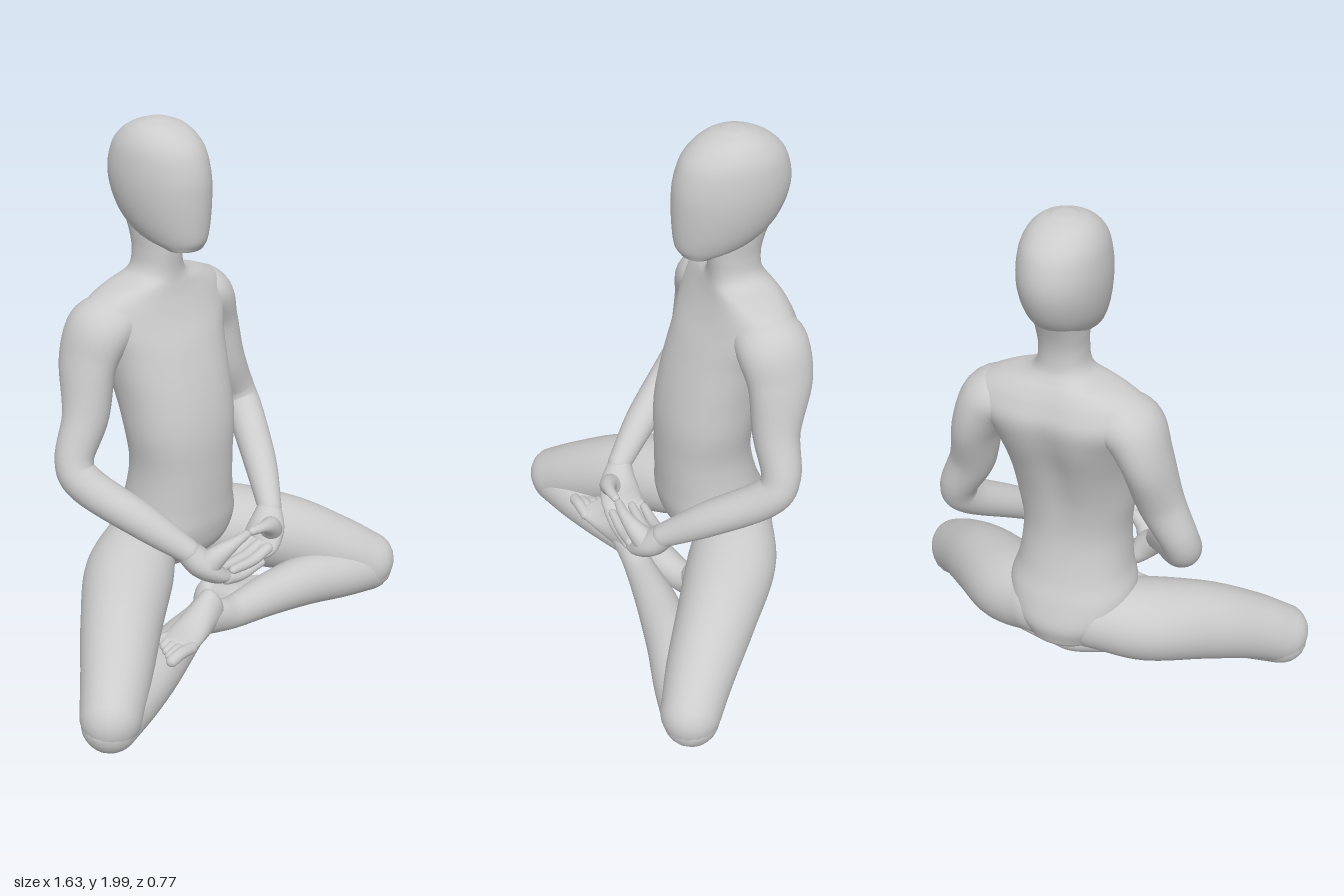
import * as THREE from 'three';

const material = new THREE.MeshStandardMaterial({ color: 0xcccccc });
const X = new THREE.Vector3(1, 0, 0), Y = new THREE.Vector3(0, 1, 0), Z = new THREE.Vector3(0, 0, 1);

// Smooth body of oval sections. Each row is [x, y, z, radius across ref, radius along ref].
// With flat set, the sections stay level: radii then run along x and z.
function loft(name, rows, { ref = Y, flat = false, sides = 28, steps = 6, dome = 1, power = 1 } = {}) {
  const path = new THREE.CatmullRomCurve3(rows.map(r => new THREE.Vector3(r[0], r[1], r[2])), false, 'catmullrom');
  const radii = new THREE.CatmullRomCurve3(rows.map(r => new THREE.Vector3(r[3], r[4], 0)), false, 'catmullrom');
  const n = (rows.length - 1) * steps, caps = 6, pos = [], index = [];
  let count = 0;
  const ring = (t, scale, push) => {
    const c = path.getPoint(t), r = radii.getPoint(t);
    const dir = flat ? Y.clone() : path.getTangent(t);
    const u = flat ? X.clone() : ref.clone().cross(dir).normalize();
    const v = dir.clone().cross(u);
    c.addScaledVector(dir, push * dome * Math.min(r.x, r.y));
    for (let j = 0; j < sides; j++) {
      const a = j / sides * Math.PI * 2, co = Math.cos(a), si = Math.sin(a);
      const p = c.clone()
        .addScaledVector(u, Math.sign(co) * Math.abs(co) ** power * r.x * scale)
        .addScaledVector(v, Math.sign(si) * Math.abs(si) ** power * r.y * scale);
      pos.push(p.x, p.y, p.z);
    }
    count++;
  };
  for (let k = caps; k > 0; k--) {
    const a = k / caps * Math.PI / 2;
    ring(0, Math.cos(a), -Math.sin(a));
  }
  for (let i = 0; i <= n; i++) ring(i / n, 1, 0);
  for (let k = 1; k <= caps; k++) {
    const a = k / caps * Math.PI / 2;
    ring(1, Math.cos(a), Math.sin(a));
  }
  for (let i = 0; i < count - 1; i++) for (let j = 0; j < sides; j++) {
    const k = (j + 1) % sides, a = i * sides + j, b = i * sides + k;
    index.push(a, b, b + sides, a, b + sides, a + sides);
  }
  const geometry = new THREE.BufferGeometry();
  geometry.setAttribute('position', new THREE.Float32BufferAttribute(pos, 3));
  geometry.setIndex(index);
  geometry.computeVertexNormals();
  const mesh = new THREE.Mesh(geometry, material);
  mesh.name = name;
  return mesh;
}

// Level sections given as [y, half width, front z, back z]
const level = rows => rows.map(([y, w, f, b]) => [0, y, (f + b) / 2, w, (f - b) / 2]);
// Mirror and shift rows
const place = (rows, s, dx = 0, dy = 0, dz = 0) =>
  rows.map(([x, y, z, a, b]) => [x * s + dx, y + dy, z + dz, a, b]);

function makeTorso() {
  const torso = loft('torso', level([
    [0.335, 0.15, -0.03, -0.325], [0.41, 0.215, 0.055, -0.342], [0.5, 0.238, 0.085, -0.318],
    [0.6, 0.212, 0.09, -0.28], [0.75, 0.2, 0.092, -0.25], [0.9, 0.218, 0.087, -0.262],
    [1.05, 0.232, 0.055, -0.305], [1.2, 0.265, 0, -0.36], [1.3, 0.318, -0.05, -0.378],
    [1.37, 0.302, -0.08, -0.355], [1.415, 0.225, -0.094, -0.33], [1.445, 0.125, -0.1, -0.308],
    [1.48, 0.09, -0.102, -0.29], [1.54, 0.082, -0.1, -0.286], [1.6, 0.085, -0.1, -0.298],
    [1.68, 0.09, -0.1, -0.33],
  ]), { flat: true, sides: 64, dome: 0.3, power: 0.92 });
  // Spine groove between the shoulder blades
  const p = torso.geometry.attributes.position;
  for (let i = 0; i < p.count; i++) {
    const x = p.getX(i), y = p.getY(i), z = p.getZ(i);
    if (z < -0.18) p.setZ(i, z + 0.026 * Math.exp(-((x / 0.06) ** 2) - ((y - 1.12) / 0.25) ** 2));
  }
  torso.geometry.computeVertexNormals();
  return torso;
}

function makeHand(s) {
  const hand = new THREE.Group();
  hand.name = s > 0 ? 'leftHand' : 'rightHand';
  const lift = s > 0 ? 0.034 : 0;
  hand.add(loft('palm', place([
    [0.225, 0.54, 0.165, 0.044, 0.044], [0.18, 0.48, 0.19, 0.07, 0.052],
    [0.135, 0.43, 0.197, 0.08, 0.04], [0.085, 0.4 + lift / 2, 0.195, 0.074, 0.023],
  ], s), { dome: 0.6 }));
  for (let j = 0; j < 4; j++) {
    const z = 0.134 + 0.041 * j, tip = [0.06, 0.085, 0.095, 0.075][j];
    hand.add(loft('finger', place([
      [0.11, 0.408, z, 0.021, 0.021], [0.03, 0.391, z, 0.021, 0.02], [-tip, 0.396, z, 0.016, 0.016],
    ], s, 0, lift), { sides: 14 }));
  }
  hand.add(loft('thumb', place([
    [0.175, 0.475, 0.215, 0.048, 0.05], [0.135, 0.522, 0.248, 0.034, 0.036],
    [0.07, 0.55, 0.266, 0.021, 0.02], [0.016, 0.556, 0.264, 0.016, 0.015],
  ], s), { sides: 18 }));
  return hand;
}

function makeFoot(name, s, dx, dy, dz) {
  const foot = new THREE.Group();
  foot.name = name;
  foot.add(loft('heelAndInstep', place([
    [0.105, 0.255, 0.175, 0.05, 0.078], [0.18, 0.235, 0.19, 0.06, 0.064],
    [0.27, 0.227, 0.212, 0.07, 0.04], [0.35, 0.229, 0.235, 0.073, 0.026],
  ], s, dx, dy, dz), { dome: 0.7 }));
  for (let j = 0; j < 5; j++) {
    const z = 0.29 - 0.028 * j, r = j ? 0.017 : 0.022;
    foot.add(loft('toe', place([
      [0.32, 0.228, z - 0.008, r, r], [0.38 - 0.008 * j, 0.236, z - 0.002, r, r], [0.425 - 0.015 * j, 0.229, z, r, r],
    ], s, dx, dy, dz), { sides: 14 }));
  }
  return foot;
}

export function createModel() {
  const model = new THREE.Group();
  model.name = 'seatedFigure';

  model.add(makeTorso());
  model.add(loft('head', level([
    [1.567, 0.07, 0.005, -0.12], [1.6, 0.1, 0.024, -0.25], [1.66, 0.126, 0.031, -0.328],
    [1.74, 0.143, 0.033, -0.372], [1.82, 0.147, 0.028, -0.385], [1.9, 0.137, 0.003, -0.364],
    [1.95, 0.114, -0.04, -0.322], [1.98, 0.082, -0.09, -0.272], [1.994, 0.044, -0.135, -0.227],
  ]), { flat: true, sides: 48, dome: 0.13 }));

  for (const s of [1, -1]) {
    const side = s > 0 ? 'left' : 'right';
    // Shoulder, upper arm, elbow and forearm
    model.add(loft(side + 'Arm', place([
      [0.17, 1.31, -0.22, 0.085, 0.12], [0.255, 1.29, -0.222, 0.103, 0.13], [0.312, 1.18, -0.228, 0.086, 0.118],
      [0.355, 1.0, -0.2, 0.083, 0.085], [0.425, 0.85, -0.19, 0.069, 0.07], [0.417, 0.765, -0.135, 0.07, 0.07],
      [0.315, 0.645, 0.035, 0.064, 0.062], [0.222, 0.538, 0.168, 0.045, 0.045],
    ], s), { ref: Z, steps: 8 }));
    model.add(makeHand(s));
    // Hip to knee
    model.add(loft(side + 'Thigh', place([
      [0.11, 0.4, -0.18, 0.135, 0.13], [0.27, 0.352, -0.085, 0.165, 0.152], [0.45, 0.288, 0.06, 0.147, 0.15],
      [0.6, 0.207, 0.19, 0.126, 0.132], [0.705, 0.138, 0.274, 0.109, 0.118],
    ], s), { sides: 36, steps: 8 }));
  }

  // Crossed shins and feet, the left one in front and on top
  model.add(loft('leftShin', [
    [0.71, 0.115, 0.275, 0.102, 0.104], [0.56, 0.135, 0.25, 0.1, 0.102], [0.4, 0.158, 0.215, 0.095, 0.1],
    [0.2, 0.17, 0.19, 0.08, 0.082], [0.02, 0.175, 0.18, 0.06, 0.064], [-0.07, 0.197, 0.18, 0.054, 0.062],
    [-0.15, 0.222, 0.186, 0.052, 0.056],
  ]));
  model.add(loft('rightShin', [
    [-0.71, 0.112, 0.275, 0.102, 0.102], [-0.56, 0.12, 0.235, 0.1, 0.1], [-0.4, 0.122, 0.18, 0.095, 0.092],
    [-0.2, 0.112, 0.1, 0.08, 0.078], [-0.02, 0.085, 0.025, 0.06, 0.064], [0.06, 0.084, -0.005, 0.054, 0.062],
    [0.13, 0.09, -0.005, 0.052, 0.056],
  ]));
  model.add(makeFoot('leftFoot', -1, 0, 0, 0));
  model.add(makeFoot('rightFoot', 1, -0.04, -0.132, -0.195));
  return model;
}
